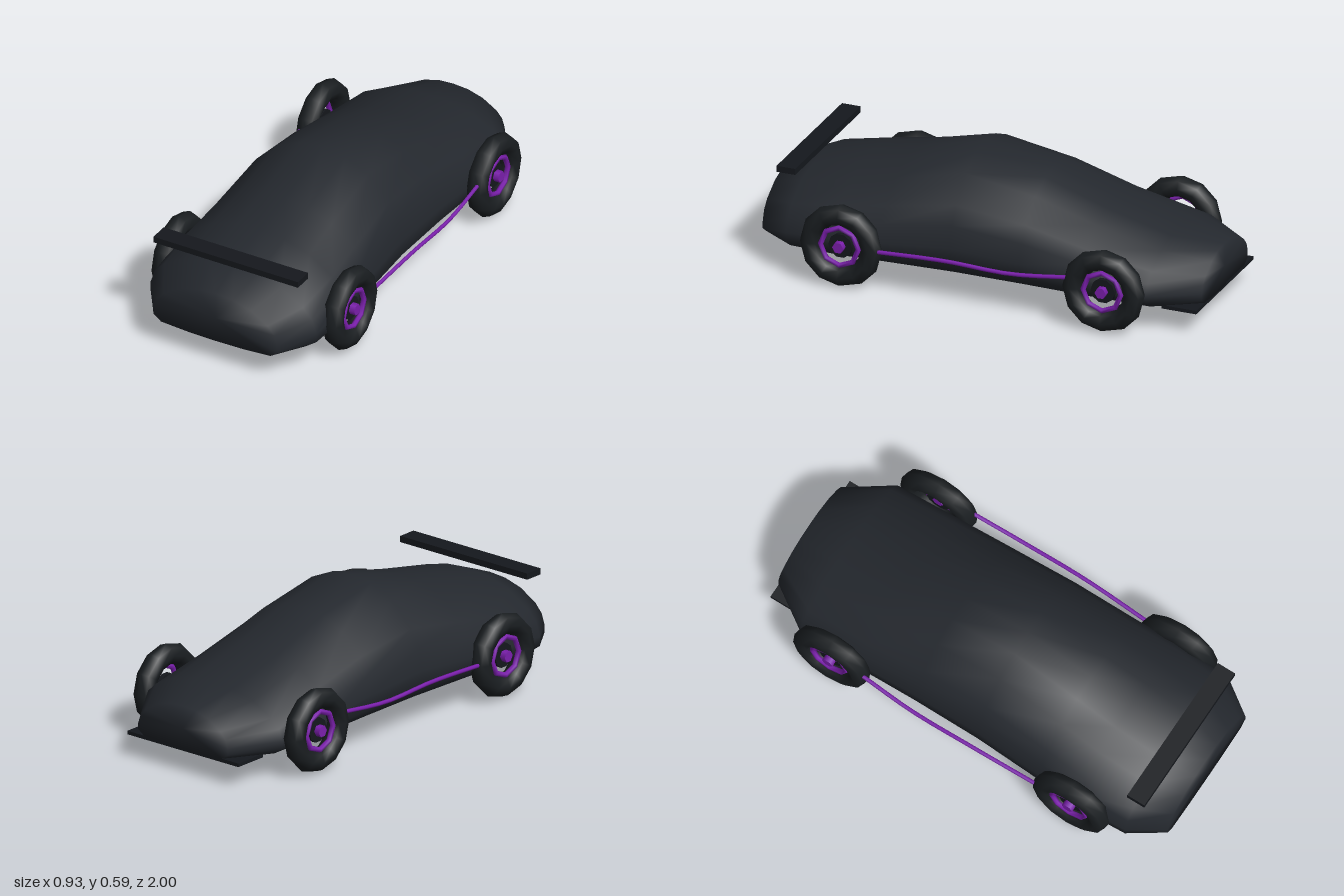
import * as THREE from 'three';

const paint = new THREE.MeshStandardMaterial({ color: 0x24282e });
const rubber = new THREE.MeshStandardMaterial({ color: 0x1a1e21 });
const trim = new THREE.MeshStandardMaterial({ color: 0x15181d });
const purple = new THREE.MeshStandardMaterial({ color: 0x7c1fae });

function part(name, geometry, material, x = 0, y = 0, z = 0) {
  const mesh = new THREE.Mesh(geometry, material);
  mesh.name = name;
  mesh.position.set(x, y, z);
  return mesh;
}

// Body shell: one half profile, scaled to each station and lofted along z
function bodyGeometry() {
  const half = [[0, 1], [0.28, 0.975], [0.57, 0.87], [0.84, 0.66], [0.95, 0.5],
    [1, 0.3], [1, 0.16], [0.88, 0.045], [0.42, 0.008], [0, 0]];
  const ring = [...half, ...half.slice(1, -1).reverse().map(([x, y]) => [-x, y])];
  // z, half width, bottom, top
  const stations = [
    [1, 0.305, 0.112, 0.35], [0.85, 0.407, 0.105, 0.41], [0.62, 0.42, 0.102, 0.462],
    [0.42, 0.405, 0.1, 0.508], [0.1, 0.392, 0.098, 0.59], [-0.22, 0.388, 0.098, 0.53],
    [-0.5, 0.39, 0.1, 0.435], [-0.8, 0.385, 0.102, 0.355], [-1, 0.25, 0.108, 0.302],
  ];
  const n = ring.length, positions = [], index = [];
  for (const [z, w, bottom, top] of stations)
    for (const [x, y] of ring) positions.push(x * w, bottom + y * (top - bottom), z);
  for (let i = 0; i < stations.length - 1; i++)
    for (let j = 0; j < n; j++) {
      const a = i * n + j, b = i * n + (j + 1) % n;
      index.push(a, b, a + n, b, b + n, a + n);
    }
  // End caps
  const last = (stations.length - 1) * n;
  const tail = stations.length * n, nose = tail + 1;
  positions.push(0, 0.225, 1, 0, 0.2, -1);
  for (let j = 0; j < n; j++) {
    const k = (j + 1) % n;
    index.push(tail, k, j, nose, last + j, last + k);
  }
  const geometry = new THREE.BufferGeometry();
  geometry.setAttribute('position', new THREE.Float32BufferAttribute(positions, 3));
  geometry.setIndex(index);
  geometry.computeVertexNormals();
  return geometry;
}

// Open wheel: tyre, rim ring, brake disc and hub, axle along x
function createWheel(name, side, z) {
  const wheel = new THREE.Group();
  wheel.name = name;
  const tyre = new THREE.TorusGeometry(0.141, 0.047, 8, 12).rotateY(Math.PI / 2);
  const rim = new THREE.TorusGeometry(0.087, 0.012, 6, 8).rotateY(Math.PI / 2);
  const disc = new THREE.CylinderGeometry(0.055, 0.055, 0.02, 10).rotateZ(Math.PI / 2);
  const hub = new THREE.CylinderGeometry(0.026, 0.026, 0.05, 6).rotateZ(Math.PI / 2);
  wheel.add(
    part('tyre', tyre, rubber),
    part('rim', rim, purple, side * 0.018),
    part('brakeDisc', disc, trim),
    part('hub', hub, purple, side * 0.012),
  );
  wheel.position.set(side * 0.42, 0.19, z);
  return wheel;
}

// Thin accent line running between the wheels
function createSideLine(name, side) {
  const path = new THREE.CatmullRomCurve3([
    [0.435, 0.192, 0.45], [0.448, 0.212, 0.1], [0.448, 0.205, -0.2], [0.434, 0.231, -0.48],
  ].map(([x, y, z]) => new THREE.Vector3(side * x, y, z)));
  return part(name, new THREE.TubeGeometry(path, 12, 0.009, 6), purple);
}

export function createModel() {
  const car = new THREE.Group();
  car.name = 'sportsCar';
  car.add(
    part('body', bodyGeometry(), paint),
    part('rearWing', new THREE.BoxGeometry(0.71, 0.028, 0.086), trim, 0, 0.461, 0.872),
    part('noseSplitter', new THREE.BoxGeometry(0.62, 0.016, 0.16), trim, 0, 0.108, -0.92),
  );
  for (const [label, side] of [['Plus', 1], ['Minus', -1]]) {
    car.add(
      createWheel('rearWheel' + label, side, 0.59),
      createWheel('noseWheel' + label, side, -0.62),
      createSideLine('sideLine' + label, side),
    );
  }
  return car;
}
